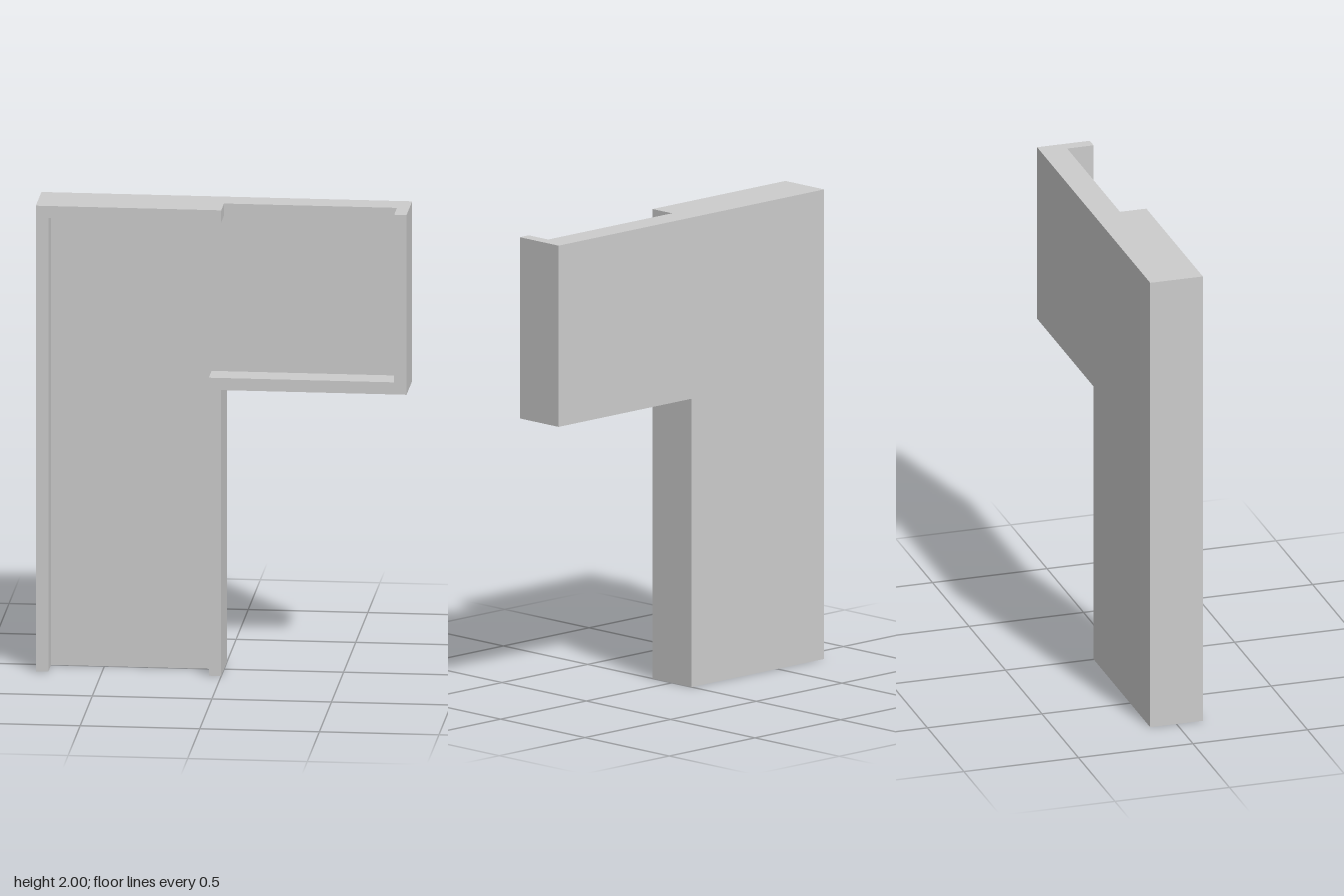
import * as THREE from 'three';

const W = 0.775;        // half width
const H = 2;            // height
const D = 0.115;        // half depth
const STEP = 1.228;     // underside of the side arm
const T = 0.052;        // wall thickness

export function createModel() {
  const group = new THREE.Group();
  const material = new THREE.MeshStandardMaterial({ color: 0xcccccc, flatShading: true });

  // Extrudes an outline forward from z0 to z1
  const addPart = (name, outline, z0, z1) => {
    const shape = new THREE.Shape(outline.map(([x, y]) => new THREE.Vector2(x, y)));
    const geometry = new THREE.ExtrudeGeometry(shape, { depth: z1 - z0, bevelEnabled: false });
    geometry.translate(0, 0, z0);
    const mesh = new THREE.Mesh(geometry, material);
    mesh.name = name;
    group.add(mesh);
  };

  // L-shaped channel floor
  addPart('channelFloor', [[-W, 0], [0, 0], [0, STEP], [W, STEP], [W, H], [-W, H]], -D, 0);

  // Outer wall: up the long side and half way along the top
  addPart('outerWall', [[-W, 0], [-W + T, 0], [-W + T, H - T], [0, H - T], [0, H], [-W, H]], 0, D);

  // Inner wall: up the stem, under the arm and up its end
  addPart('innerWall', [
    [-T, 0], [0, 0], [0, STEP], [W, STEP], [W, H],
    [W - T, H], [W - T, STEP + T], [-T, STEP + T],
  ], 0, D);

  return group;
}
